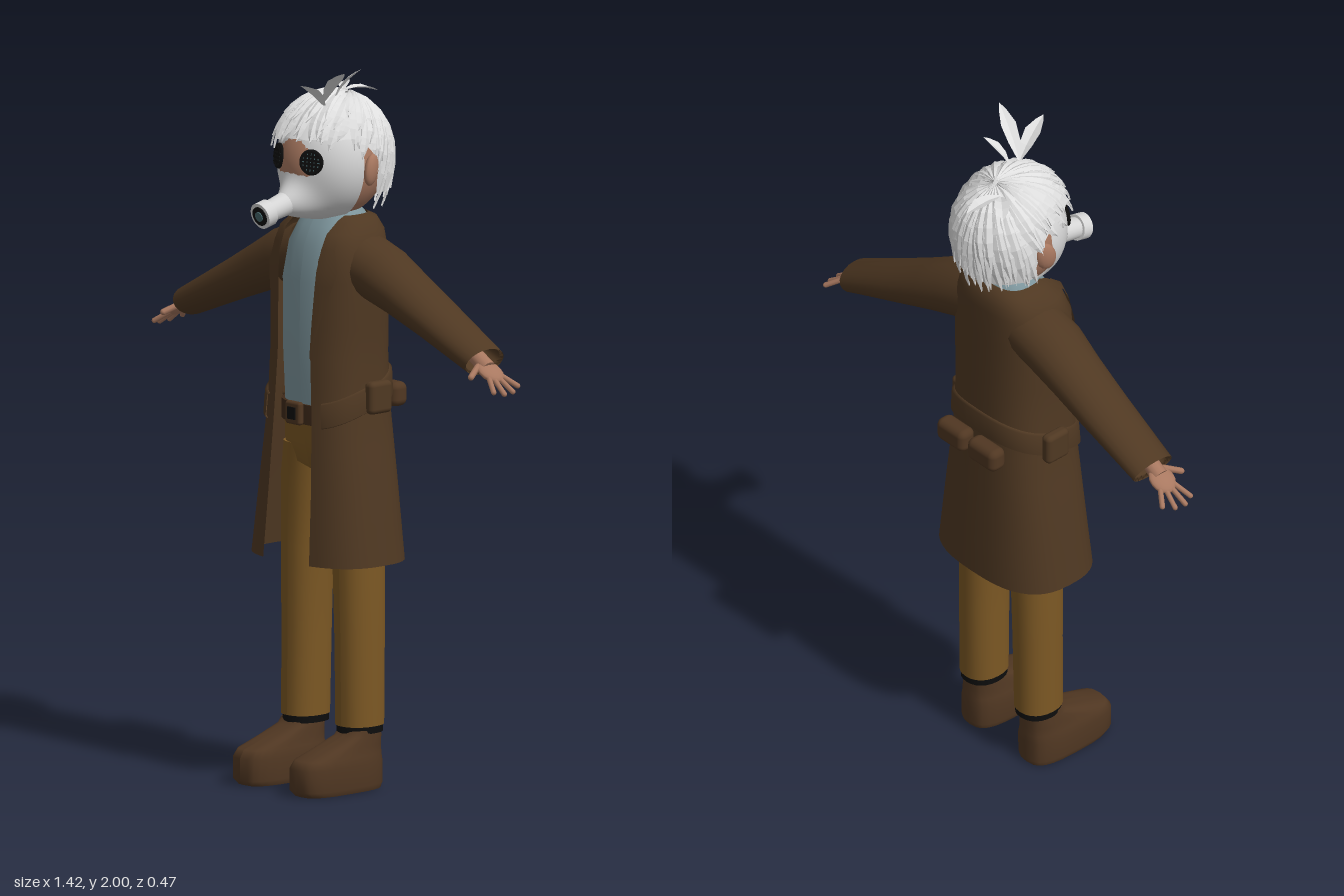
import * as THREE from 'three';
import { mergeGeometries } from 'three/addons/utils/BufferGeometryUtils.js';
import { RoundedBoxGeometry } from 'three/addons/geometries/RoundedBoxGeometry.js';

const mat = (name, color, side = THREE.FrontSide) => {
  const m = new THREE.MeshStandardMaterial({ color, side });
  m.name = name;
  return m;
};
const V = (x, y, z) => new THREE.Vector3(x, y, z);
const lerp = THREE.MathUtils.lerp;

// Surface through rows of points, optionally closed by fans at both ends
function loft(rows, capped = false) {
  const pos = [], idx = [], n = rows[0].length;
  rows.forEach(r => r.forEach(p => pos.push(p.x, p.y, p.z)));
  for (let i = 0; i < rows.length - 1; i++)
    for (let j = 0; j < n - 1; j++) {
      const a = i * n + j, c = a + n;
      idx.push(a, a + 1, c, a + 1, c + 1, c);
    }
  if (capped) [0, rows.length - 1].forEach(i => {
    const c = rows[i].reduce((s, p) => s.add(p), V(0, 0, 0)).divideScalar(n), b = pos.length / 3;
    rows[i].forEach(p => pos.push(p.x, p.y, p.z));
    pos.push(c.x, c.y, c.z);
    for (let j = 0; j < n - 1; j++)
      i ? idx.push(b + j, b + j + 1, b + n) : idx.push(b + j + 1, b + j, b + n);
  });
  const g = new THREE.BufferGeometry();
  g.setAttribute('position', new THREE.Float32BufferAttribute(pos, 3));
  g.setIndex(idx);
  g.computeVertexNormals();
  return g;
}
const faceted = g => { const f = g.toNonIndexed(); f.computeVertexNormals(); return f; };

// Rounded horizontal section: half width w, from z = zb to z = zf
const sect = (a, y, cx, w, zf, zb, p = 0.8) => {
  const s = Math.sin(a), c = Math.cos(a), f = v => Math.sign(v) * Math.abs(v) ** p;
  return V(cx + w * f(s), y, (zf + zb) / 2 + (zf - zb) / 2 * f(c));
};
const ring = (y, cx, w, zf, zb, p, n = 24) =>
  Array.from({ length: n + 1 }, (_, j) => sect(j / n * Math.PI * 2, y, cx, w, zf, zb, p));

// Coat sections: y, half width, front z, back z, half opening
const COAT = [
  [0.63, 0.225, 0.14, -0.18, 0.093], [0.85, 0.198, 0.125, -0.17, 0.085], [1.05, 0.17, 0.115, -0.162, 0.075],
  [1.2, 0.162, 0.11, -0.158, 0.066], [1.35, 0.168, 0.103, -0.155, 0.072], [1.47, 0.168, 0.095, -0.153, 0.08],
  [1.54, 0.145, 0.07, -0.15, 0.084], [1.572, 0.115, 0.035, -0.138, 0.083], [1.582, 0.09, 0.02, -0.118, 0.08]];
function coatAt(y, off = 0) {
  let i = 0;
  while (i < COAT.length - 2 && y > COAT[i + 1][0]) i++;
  const t = (y - COAT[i][0]) / (COAT[i + 1][0] - COAT[i][0]);
  const [, w, zf, zb, g] = COAT[i].map((v, k) => lerp(v, COAT[i + 1][k], t));
  return { a0: Math.asin((g / w) ** (1 / 0.75)), at: a => sect(a, y, 0, w + off, zf + off, zb - off, 0.75),
    angle: x => Math.asin(Math.min(1, x / w) ** (1 / 0.75)), g };
}

// Hair: polar position around a crown tilted to the back
function hairAt(az, th, r = 1) {
  const d = V(Math.sin(th) * Math.sin(az), Math.cos(th), Math.sin(th) * Math.cos(az)).applyAxisAngle(V(1, 0, 0), -0.35);
  return V(d.x * 0.15 * r, 1.74 + d.y * (d.y > 0 ? 0.17 : 0.24) * r, -0.035 + d.z * 0.17 * r);
}
function hairEnd(az, extra = 0) {
  const c = Math.cos(az);
  const y = (c > 0.3 ? 1.785 : c > -0.15 ? lerp(1.73, 1.785, (c + 0.15) / 0.45) : lerp(1.73, 1.62, Math.min(1, (-0.15 - c) * 4))) + extra;
  let th = 0.3;
  while (th < 2.6 && hairAt(az, th).y > y) th += 0.02;
  return th;
}

export function createModel() {
  const model = new THREE.Group();
  model.name = 'maskedFigure';
  const D = THREE.DoubleSide;
  const coatM = mat('coat brown', 0x4f3822, D), bootM = mat('boot brown', 0x503722), pantsM = mat('ochre cloth', 0x7c5824);
  const shirtM = mat('shirt blue grey', 0x7d959c, D), skinM = mat('skin', 0xa87860), hairM = mat('silver hair', 0xdedede, D);
  const maskM = mat('mask grey', 0xd6d6d6, D), blackM = mat('black', 0x0d0d0d), lensM = mat('lens teal', 0x48686c), beltM = mat('leather', 0x3f2a1a);
  const add = (name, geo, m, parent = model) => {
    const mesh = new THREE.Mesh(geo, m);
    mesh.name = name;
    parent.add(mesh);
    return mesh;
  };
  let seed = 7;
  const rnd = () => (seed = (seed * 16807) % 2147483647) / 2147483647;

  // Coat body, open at the front
  const ys = [0.63, 0.74, 0.85, 0.95, 1.05, 1.12, 1.2, 1.28, 1.35, 1.41, 1.47, 1.51, 1.54, 1.572, 1.582];
  add('coat', loft(ys.map(y => {
    const c = coatAt(y);
    return Array.from({ length: 41 }, (_, j) => c.at(lerp(c.a0, Math.PI * 2 - c.a0, j / 40)));
  })), coatM);
  // Coat waistband, rising towards the back
  add('waistband', loft([0, 0.004, 0.066, 0.07].map((h, k) => Array.from({ length: 41 }, (_, j) => {
    const a = lerp(0.55, Math.PI * 2 - 0.55, j / 40);
    return coatAt(1.05 - 0.05 * Math.cos(a) + h, k % 3 ? 0.008 : 0).at(a);
  }))), coatM);
  [1, -1].forEach(s => {
    const p = add('backPouch', new RoundedBoxGeometry(0.11, 0.068, 0.055, 3, 0.02), bootM);
    p.position.set(s * 0.062, 1.068, -0.185);
    const q = add('sidePouch', new RoundedBoxGeometry(0.035, 0.09, 0.08, 3, 0.014), coatM);
    q.position.set(s * 0.182, 1.09, -0.04);
  });

  // Shirt and neck
  add('shirt', loft([[1.04, 0.13, 0.075, -0.13], [1.2, 0.13, 0.085, -0.13], [1.4, 0.135, 0.083, -0.13], [1.5, 0.12, 0.068, -0.13],
    [1.55, 0.1, 0.045, -0.13], [1.58, 0.085, 0.025, -0.12], [1.597, 0.068, 0.012, -0.108]].map(r => ring(r[0], 0, r[1], r[2], r[3], 0.85))), shirtM);
  add('neck', new THREE.CylinderGeometry(0.056, 0.062, 0.12, 20), skinM).position.set(0, 1.605, -0.048);

  // Trousers hips, belt and buckle
  add('hips', loft([[0.86, 0.03, 0.01, -0.09], [0.89, 0.13, 0.05, -0.12], [0.95, 0.145, 0.065, -0.125], [1.04, 0.135, 0.075, -0.125]]
    .map(r => ring(r[0], 0, r[1], r[2], r[3], 0.85)), true), pantsM);
  add('belt', loft([1.005, 1.06].map(y => ring(y, 0, 0.142, 0.083, -0.132, 0.85)), true), beltM);
  add('buckle', new RoundedBoxGeometry(0.06, 0.064, 0.02, 2, 0.008), bootM).position.set(-0.015, 1.035, 0.09);
  add('buckleHole', new THREE.BoxGeometry(0.03, 0.034, 0.006), blackM).position.set(-0.015, 1.035, 0.1);

  // Paired parts, built for the left side and mirrored
  [1, -1].forEach(s => {
    const side = new THREE.Group();
    side.name = s > 0 ? 'leftSide' : 'rightSide';
    side.scale.x = s;
    model.add(side);

    // Lapel plate along the coat opening
    add('lapel', loft([1.2, 1.3, 1.4, 1.44, 1.5, 1.54, 1.57].map((y, k) => {
      const c = coatAt(y, 0.006), w = [0.002, 0.024, 0.048, 0.055, 0.036, 0.03, 0.02][k];
      return [0, 0.5, 1].map(t => c.at(c.angle(c.g + w * t)));
    })), coatM, side);

    // Sleeve: x, y, vertical radius, depth radius, centre z
    const sleeve = [[0.09, 1.46, 0.085, 0.09, -0.05], [0.19, 1.43, 0.081, 0.09, -0.05], [0.28, 1.39, 0.07, 0.083, -0.054],
      [0.4, 1.335, 0.058, 0.078, -0.057], [0.595, 1.245, 0.042, 0.068, -0.057], [0.585, 1.25, 0.036, 0.06, -0.057], [0.5, 1.29, 0.03, 0.05, -0.057]];
    add('sleeve', loft(sleeve.map(([x, y, rv, rz, cz]) => Array.from({ length: 21 }, (_, j) => {
      const a = j / 20 * Math.PI * 2, v = rv * Math.cos(a);
      return V(x + 0.44 * v, y + 0.9 * v, cz + rz * Math.sin(a));
    }))), coatM, side);

    // Hand with four fingers and a thumb
    const hand = new THREE.Group();
    hand.name = 'hand';
    hand.position.set(0.59, 1.245, -0.05);
    hand.rotation.z = -0.55;
    side.add(hand);
    const wrist = add('wrist', new THREE.CylinderGeometry(0.022, 0.024, 0.09, 12), skinM, hand);
    wrist.rotation.z = Math.PI / 2;
    wrist.position.x = -0.015;
    add('palm', new THREE.SphereGeometry(1, 16, 10), skinM, hand).geometry.scale(0.044, 0.015, 0.038).translate(0.042, 0, 0);
    const finger = (name, a, b, r) => {
      const d = b.clone().sub(a), f = add(name, new THREE.CapsuleGeometry(r, d.length(), 4, 8), skinM, hand);
      f.position.copy(a).addScaledVector(d, 0.5);
      f.quaternion.setFromUnitVectors(V(0, 1, 0), d.normalize());
    };
    [[0.02, 0.125, 0.045], [0.007, 0.138, 0.016], [-0.008, 0.134, -0.018], [-0.022, 0.115, -0.05]]
      .forEach(([z0, x, z1]) => finger('finger', V(0.06, 0, z0), V(x - 0.006, -0.003, z1), 0.0075));
    finger('thumb', V(0.015, 0, 0.025), V(0.045, -0.006, 0.07), 0.009);

    // Trouser leg, dark cuff and boot
    add('leg', loft([[0.175, 0.11, 0.06, 0.032, -0.105], [0.4, 0.108, 0.062, 0.032, -0.108], [0.65, 0.104, 0.065, 0.036, -0.112],
      [0.84, 0.09, 0.075, 0.045, -0.118], [0.94, 0.072, 0.07, 0.055, -0.12]].map(r => ring(r[0], r[1], r[2], r[3], r[4], 0.9)), true), pantsM, side);
    add('cuff', loft([0.155, 0.182].map(y => ring(y, 0.11, 0.057, 0.029, -0.102, 0.9)), true), blackM, side);
    add('boot', loft([[0, 0.06, 0.185, -0.085], [0.015, 0.066, 0.2, -0.09], [0.075, 0.067, 0.2, -0.09], [0.098, 0.06, 0.185, -0.089],
      [0.122, 0.055, 0.11, -0.087], [0.148, 0.052, 0.035, -0.086], [0.165, 0.05, 0.022, -0.084]]
      .map(r => ring(r[0], 0.115, r[1], r[2], r[3], 0.65)), true), bootM, side);

    // Ear
    const ear = add('ear', new THREE.SphereGeometry(1, 14, 10), skinM, side);
    ear.scale.set(0.016, 0.045, 0.03);
    ear.position.set(0.148, 1.715, -0.045);
    ear.rotation.set(-0.2, 0.35, 0);

    // Goggle eye with a grille
    const eye = new THREE.Group();
    eye.name = 'goggle';
    eye.position.set(0.066, 1.742, 0.101);
    eye.rotation.set(-0.1, 0.42, 0);
    side.add(eye);
    add('eyeRim', new THREE.TorusGeometry(0.03, 0.006, 8, 24), blackM, eye);
    add('lens', new THREE.CylinderGeometry(0.029, 0.029, 0.008, 24), lensM, eye).rotation.x = Math.PI / 2;
    [-0.016, -0.005, 0.005, 0.016].forEach(o => {
      const l = 2 * Math.sqrt(0.029 ** 2 - o * o);
      add('grilleBar', new THREE.BoxGeometry(0.0065, l, 0.006), blackM, eye).position.set(o, 0, 0.004);
      add('grilleBar', new THREE.BoxGeometry(l, 0.0065, 0.006), blackM, eye).position.set(0, o, 0.004);
    });
  });

  // Head
  const head = add('head', new THREE.SphereGeometry(1, 32, 24), skinM);
  head.geometry.scale(0.142, 0.158, 0.155).translate(0, 1.725, -0.035);

  // Mask: front half shell drawn out into a snout
  const mask = new THREE.SphereGeometry(1, 40, 40, 0, Math.PI).scale(0.148, 0.165, 0.135).translate(0, 1.727, -0.02);
  const mp = mask.attributes.position;
  for (let i = 0; i < mp.count; i++) {
    const x = mp.getX(i), y = mp.getY(i), z = mp.getZ(i);
    const front = THREE.MathUtils.smoothstep(z, -0.02, 0.06);
    mp.setZ(i, z + 0.088 * front * Math.exp(-((x / 0.055) ** 2) - ((y - 1.61) / 0.055) ** 2));
  }
  mask.computeVertexNormals();
  add('mask', mask, maskM);

  // Breathing nozzle
  const nozzle = new THREE.Group();
  nozzle.name = 'nozzle';
  nozzle.position.set(0, 1.62, 0.15);
  nozzle.rotation.x = Math.PI / 2 + 0.25;
  model.add(nozzle);
  add('nozzleTube', new THREE.CylinderGeometry(0.029, 0.033, 0.07, 24), maskM, nozzle).position.y = 0.025;
  add('nozzleCap', new THREE.CylinderGeometry(0.037, 0.037, 0.032, 24), maskM, nozzle).position.y = 0.066;
  add('nozzleHole', new THREE.CylinderGeometry(0.027, 0.027, 0.004, 24), blackM, nozzle).position.y = 0.083;
  add('nozzleFilter', new THREE.CylinderGeometry(0.014, 0.014, 0.004, 16), lensM, nozzle).position.y = 0.086;

  // Hair cap beneath the locks
  const around = Array.from({ length: 49 }, (_, j) => j / 48 * Math.PI * 2);
  add('hairCap', loft(Array.from({ length: 11 }, (_, i) => around.map(az => hairAt(az, hairEnd(az, 0.02) * i / 10)))), hairM);

  // Pointed locks in overlapping layers from the crown
  const locks = [];
  [[0.9, 34, 0], [0.5, 30, 0.02], [0.05, 24, 0.05]].forEach(([start, n, up], layer) => {
    for (let k = 0; k < n; k++) {
      const az = (k + rnd() * 0.7) / n * Math.PI * 2, end = hairEnd(az, up + (rnd() - 0.5) * 0.05);
      const twist = (rnd() - 0.5) * 0.25, lift = 1.01 + layer * 0.012;
      locks.push(faceted(loft(Array.from({ length: 7 }, (_, i) => {
        const t = i / 6, th = lerp(Math.min(start, end * 0.6), end, t), w = 4.6 / n * (1 - t ** 3) * (0.6 + 0.4 * t);
        return [-1, 0, 1].map(e => hairAt(az + twist * t * t + e * w, th, lift + (e ? 0 : 0.03) + 0.015 * t));
      }))));
    }
  });
  add('hairLocks', mergeGeometries(locks), hairM);

  // Loose tufts: base, tip, half width
  [[V(0.04, 1.9, 0.03), V(0.172, 2.0, 0.075), 0.022], [V(0.05, 1.89, 0.04), V(0.085, 1.965, 0.16), 0.024],
    [V(0.04, 1.9, -0.005), V(0.1, 1.985, -0.05), 0.018], [V(-0.05, 1.9, -0.12), V(-0.135, 1.9, -0.19), 0.022],
    [V(-0.045, 1.9, -0.12), V(-0.03, 1.885, -0.23), 0.022]].forEach(([a, b, w]) => {
    const dir = b.clone().sub(a), out = V(0, 1, 0).cross(dir).normalize(), up = dir.clone().normalize().cross(out);
    add('tuft', faceted(loft([[0, 0.2], [0.3, 0.8], [0.6, 1], [0.85, 0.5], [1, 0]].map(([t, k]) => [-1, 0, 1].map(e =>
      a.clone().addScaledVector(dir, t).addScaledVector(out, e * w * k)
        .addScaledVector(up, 0.014 * Math.sin(t * Math.PI) - (e ? 0 : 0.007 * k)))))), hairM);
  });

  return model;
}
